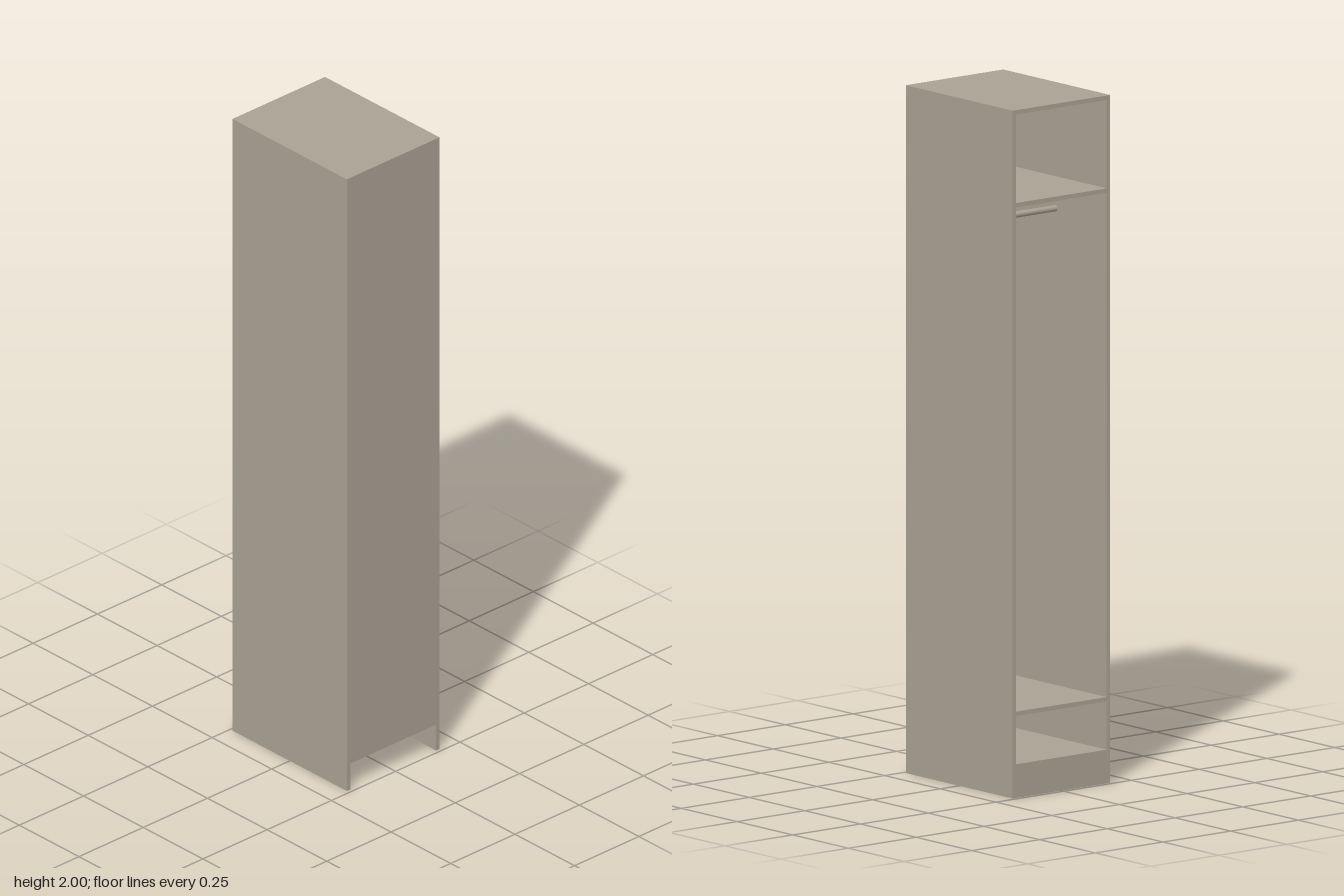
import * as THREE from 'three';

const W = 0.36, H = 2, D = 0.48;   // outer size
const T = 0.013;                   // board thickness
const KICK = 0.085;                // underside of the bottom board

export function createModel() {
  const group = new THREE.Group();
  group.name = 'wardrobe';
  const board = new THREE.MeshStandardMaterial({ color: 0xa9a193 });
  board.name = 'warm grey board';

  const add = (name, geometry, x, y, z) => {
    const mesh = new THREE.Mesh(geometry, board);
    mesh.name = name;
    mesh.position.set(x, y, z);
    group.add(mesh);
    return mesh;
  };
  const inner = W - 2 * T;

  // Side panels run the full height
  for (const [name, s] of [['leftSide', 1], ['rightSide', -1]])
    add(name, new THREE.BoxGeometry(T, H, D), s * (W - T) / 2, H / 2, 0);

  // Closed front panel, stopping above the kick space
  add('frontPanel', new THREE.BoxGeometry(inner, H - KICK, T), 0, (H + KICK) / 2, (D - T) / 2);

  // Horizontal boards, given by their undersides; they butt against the front panel
  const levels = { bottomBoard: KICK, lowerShelf: 0.238, upperShelf: 1.717, topBoard: H - T };
  for (const [name, y] of Object.entries(levels))
    add(name, new THREE.BoxGeometry(inner, T, D - T), 0, y + T / 2, -T / 2);

  // Plinth under the open side
  add('plinth', new THREE.BoxGeometry(inner, KICK, T), 0, KICK / 2, (T - D) / 2);

  // Hanging rail across the middle
  const rail = add('hangingRail', new THREE.CylinderGeometry(0.009, 0.009, inner, 20), 0, 1.637, -0.01);
  rail.rotation.z = Math.PI / 2;

  return group;
}
